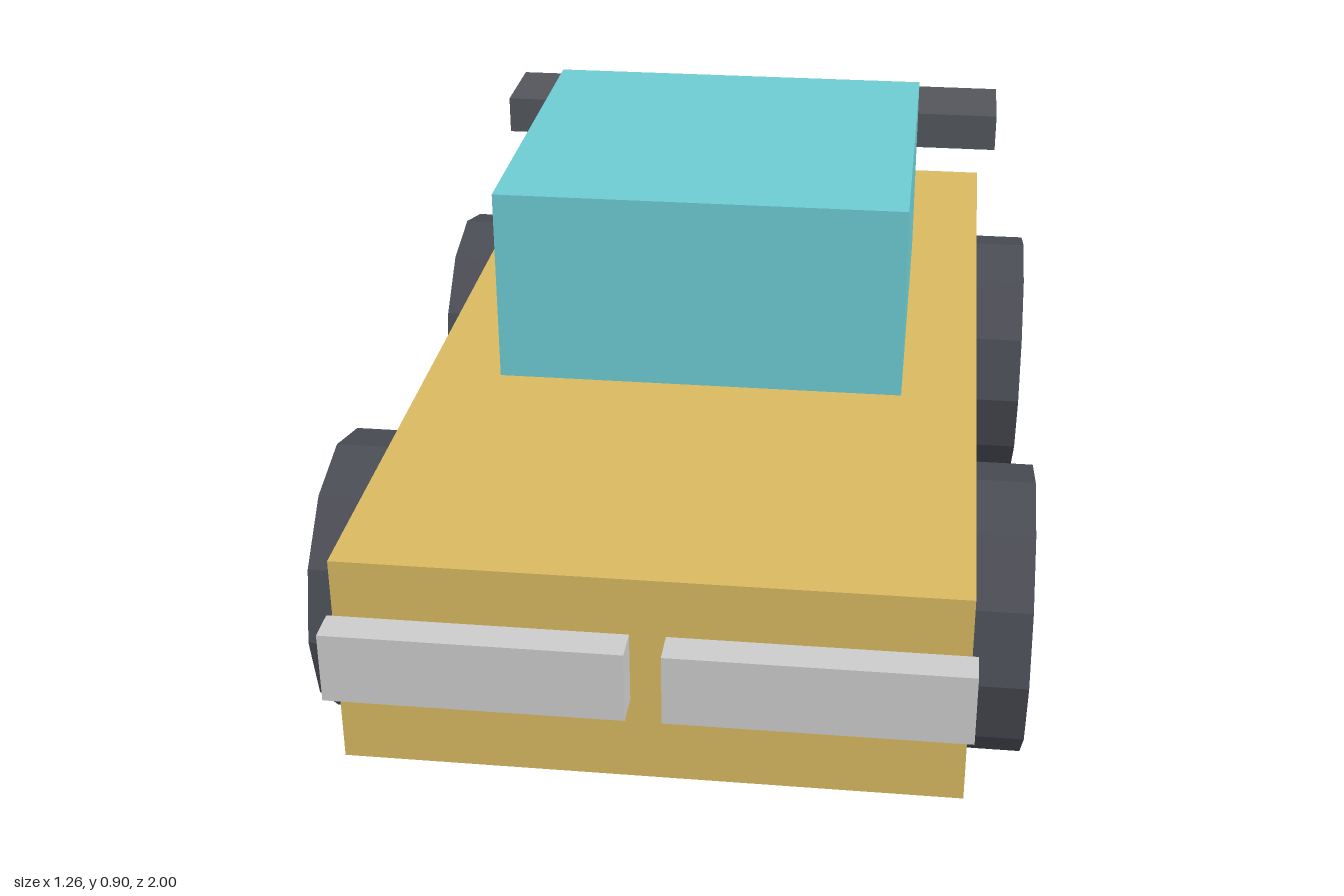
import * as THREE from 'three';

const paint = (color) => new THREE.MeshStandardMaterial({ color, flatShading: true });

export function createModel() {
  const car = new THREE.Group();
  car.name = 'car';

  const yellow = paint(0xd8b860);
  const cyan = paint(0x6ccbd2);
  const dark = paint(0x53565c);
  const tyreDark = paint(0x4a4c54);
  const pink = paint(0xd68cb8);
  const red = paint(0xd06868);
  const grey = paint(0xcccccc);

  // Box given by its minimum and maximum along each axis
  function box(name, material, [x0, x1], [y0, y1], [z0, z1]) {
    const mesh = new THREE.Mesh(new THREE.BoxGeometry(x1 - x0, y1 - y0, z1 - z0), material);
    mesh.position.set((x0 + x1) / 2, (y0 + y1) / 2, (z0 + z1) / 2);
    mesh.name = name;
    car.add(mesh);
  }

  // Cylinder lying along x
  function disc(name, material, radius, width, sides) {
    const geometry = new THREE.CylinderGeometry(radius, radius, width, sides).rotateZ(Math.PI / 2);
    const mesh = new THREE.Mesh(geometry, material);
    mesh.name = name;
    return mesh;
  }

  // Body, cabin and floating rear wing
  box('body', yellow, [-0.52, 0.52], [0.147, 0.53], [-0.943, 0.94]);
  box('cabin', cyan, [-0.38, 0.38], [0.53, 0.898], [-0.49, 0.245]);
  box('rearWing', dark, [-0.552, 0.552], [0.668, 0.747], [-0.917, -0.725]);

  for (const [side, s] of [['left', 1], ['right', -1]]) {
    const span = (a, b) => (s > 0 ? [a, b] : [-b, -a]);

    // Lamps
    box(side + 'Headlight', grey, span(0.03, 0.53), [0.3, 0.426], [0.94, 1]);
    box(side + 'TailLight', red, span(0.075, 0.51), [0.31, 0.42], [-1, -0.943]);

    // Wheels: twelve-sided tyre with a ten-sided hub
    for (const [end, z] of [['Front', 0.52], ['Rear', -0.55]]) {
      const wheel = new THREE.Group();
      wheel.name = side + end + 'Wheel';
      wheel.add(disc('tyre', tyreDark, 0.256, 0.143, 12), disc('hub', pink, 0.123, 0.153, 10));
      wheel.position.set(s * 0.552, 0.257, z);
      car.add(wheel);
    }
  }

  return car;
}
